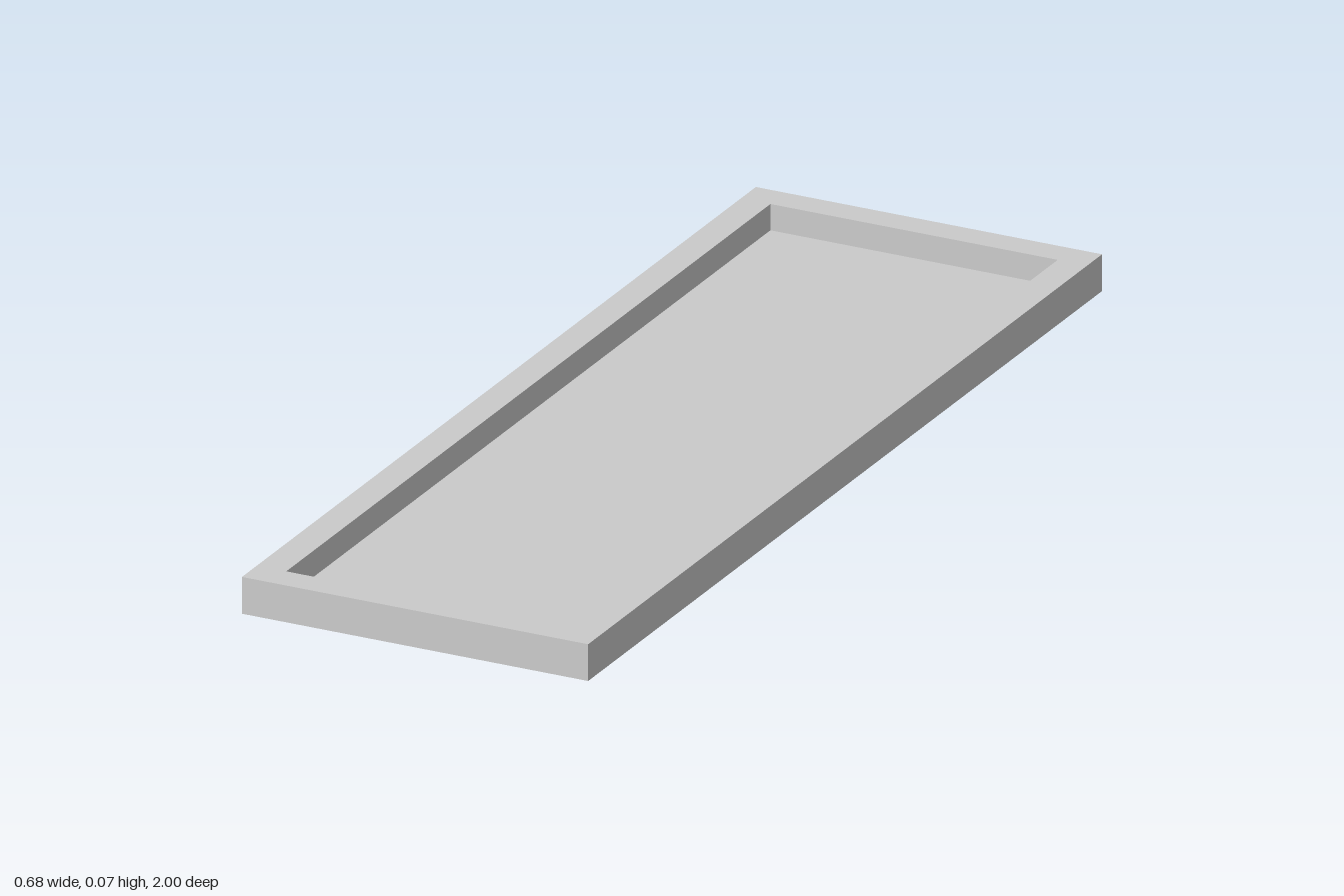
import * as THREE from 'three';

const W = 0.682, L = 2, H = 0.07; // outer size
const RIM = 0.058, FLOOR = 0.02; // rim width, floor thickness

// Rectangle centred on the origin, as corner points
function rect(w, l) {
  return [[-1, -1], [1, -1], [1, 1], [-1, 1]].map(
    ([x, y]) => new THREE.Vector2((x * w) / 2, (y * l) / 2)
  );
}

export function createModel() {
  const group = new THREE.Group();
  group.name = 'tray';
  const material = new THREE.MeshStandardMaterial({ color: 0xcccccc });
  const innerW = W - 2 * RIM, innerL = L - 2 * RIM;

  // Raised rim: rectangular frame, full height
  const shape = new THREE.Shape(rect(W, L));
  shape.holes.push(new THREE.Path(rect(innerW, innerL)));
  const rimGeometry = new THREE.ExtrudeGeometry(shape, { depth: H, bevelEnabled: false });
  rimGeometry.rotateX(-Math.PI / 2);
  const rim = new THREE.Mesh(rimGeometry, material);
  rim.name = 'rim';
  group.add(rim);

  // Recessed floor closing the frame, flush with the underside
  const floor = new THREE.Mesh(new THREE.BoxGeometry(innerW, FLOOR, innerL), material);
  floor.name = 'floor';
  floor.position.y = FLOOR / 2;
  group.add(floor);

  return group;
}
